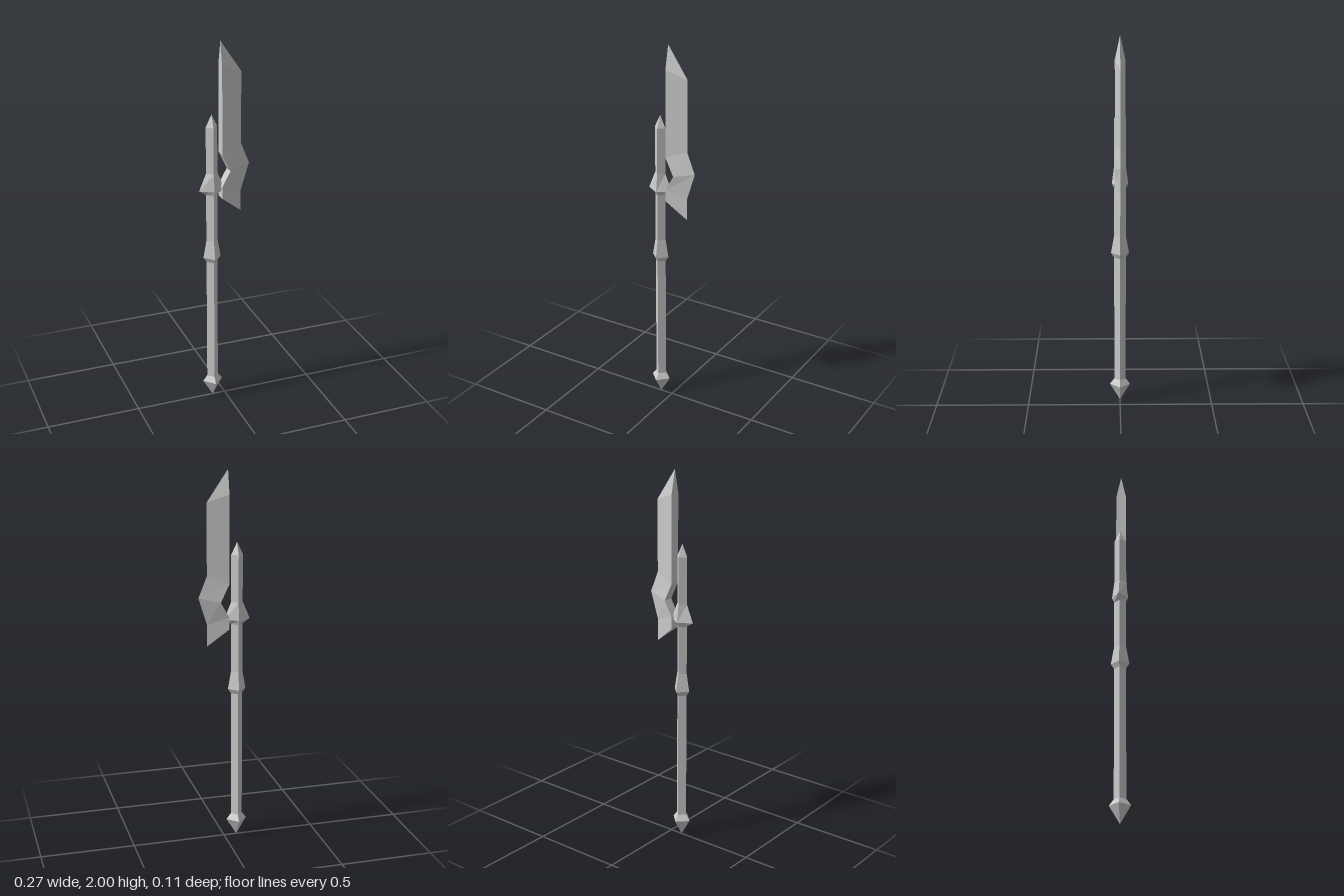
import * as THREE from 'three';

const material = new THREE.MeshStandardMaterial({ color: 0xcccccc, flatShading: true });

// Skin a stack of rings (listed top to bottom, counter-clockwise from above), capping both ends.
// A ring holding a single point closes to a tip.
function loft(name, rings) {
  const pos = [];
  const tri = (a, b, c) => pos.push(...a, ...b, ...c);
  const cap = (r, up) => {
    for (let i = 1; i < r.length - 1; i++) up ? tri(r[0], r[i], r[i + 1]) : tri(r[0], r[i + 1], r[i]);
  };
  for (let k = 0; k < rings.length - 1; k++) {
    const up = rings[k], low = rings[k + 1];
    const n = Math.max(up.length, low.length);
    for (let i = 0; i < n; i++) {
      const j = (i + 1) % n;
      if (low.length > 1) tri(low[i], low[j], up[j % up.length]);
      if (up.length > 1) tri(low[i % low.length], up[j], up[i]);
    }
  }
  cap(rings[0], true);
  cap(rings[rings.length - 1], false);
  const geo = new THREE.BufferGeometry();
  geo.setAttribute('position', new THREE.Float32BufferAttribute(pos, 3));
  geo.computeVertexNormals();
  const mesh = new THREE.Mesh(geo, material);
  mesh.name = name;
  return mesh;
}

// Four-cornered ring around the shaft axis
const diamond = (y, rx, rz = rx) => [[0, y, rz], [rx, y, 0], [0, y, -rz], [-rx, y, 0]];

// Wedge section of the blade: thick spine, sharp cutting edge
const T = 0.027;
const wedge = (xs, ys, xe, ye) => [[xs, ys, T], [xe, ye, 0], [xs, ys, -T]];

export function createModel() {
  const model = new THREE.Group();
  model.name = 'polearm';
  const R = 0.031;

  const pole = new THREE.Group();
  pole.name = 'pole';
  pole.position.x = -0.07;
  pole.add(
    // Pointed top and long square shaft
    loft('shaft', [[[0, 1.628, 0]], diamond(1.563, R), diamond(0.11, R)]),
    // Wide guard beside the blade
    loft('guard', [diamond(1.315, R), diamond(1.222, 0.069, 0.043), diamond(1.197, R)]),
    // Collar on the middle of the shaft
    loft('collar', [diamond(0.94, R), diamond(0.843, 0.048), diamond(0.817, R)]),
    // Pointed foot
    loft('pommel', [diamond(0.125, R), diamond(0.093, 0.055), [[0, 0, 0]]]),
  );

  // Notched blade, spine towards the pole
  const blade = loft('blade', [
    [[-0.022, 2, 0]],
    wedge(-0.022, 1.875, 0.09, 1.835),
    wedge(-0.022, 1.415, 0.09, 1.458),
    wedge(0.023, 1.32, 0.135, 1.345),
    wedge(-0.022, 1.24, 0.09, 1.2),
    wedge(-0.022, 1.175, 0.09, 1.085),
  ]);

  model.add(pole, blade);
  return model;
}
